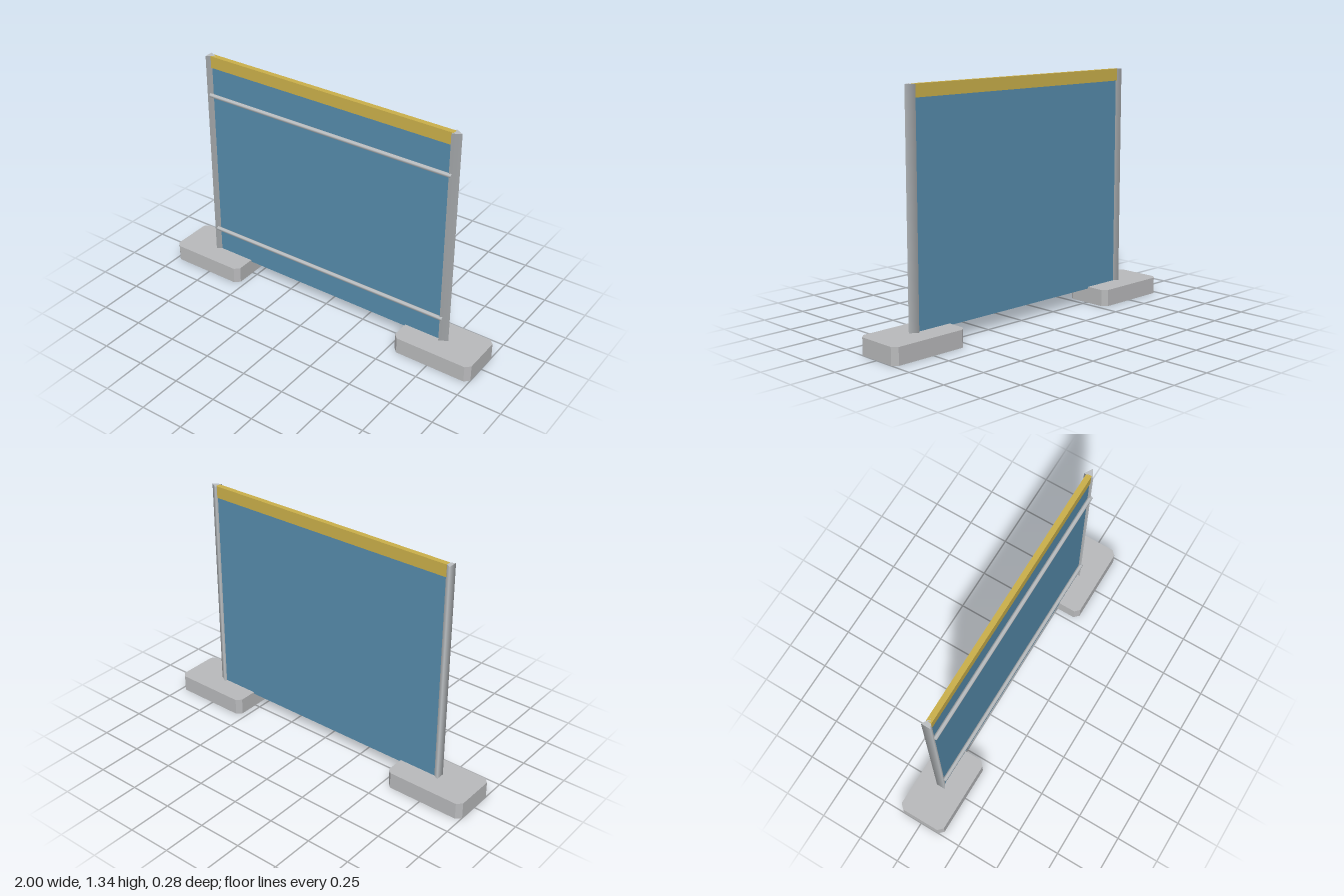
import * as THREE from 'three';

export function createModel() {
  const model = new THREE.Group();
  model.name = 'barrierPanel';
  const mat = (name, color) => {
    const m = new THREE.MeshStandardMaterial({ color });
    m.name = name;
    return m;
  };
  const blue = mat('blue panel', 0x568cac);
  const yellow = mat('yellow trim', 0xcbb04a);
  const concrete = mat('concrete grey', 0xb9babc);
  const metal = mat('metal grey', 0xbcc0c3);

  const add = (name, geometry, material, x, y, z) => {
    const mesh = new THREE.Mesh(geometry, material);
    mesh.name = name;
    mesh.position.set(x, y, z);
    model.add(mesh);
    return mesh;
  };

  // Sheet with a slightly thicker yellow top band
  const top = 1.343, bandBottom = 1.275, sheetBottom = 0.085;
  add('sheet', new THREE.BoxGeometry(1.51, bandBottom - sheetBottom, 0.02), blue,
    0, (bandBottom + sheetBottom) / 2, 0);
  add('topBand', new THREE.BoxGeometry(1.51, top - bandBottom, 0.03), yellow,
    0, (top + bandBottom) / 2, 0);

  // Foot outline with chamfered corners
  const hx = 0.234, hz = 0.14, c = 0.027;
  const outline = new THREE.Shape([
    [hx - c, -hz], [hx, -hz + c], [hx, hz - c], [hx - c, hz],
    [-hx + c, hz], [-hx, hz - c], [-hx, -hz + c], [-hx + c, -hz],
  ].map(([x, y]) => new THREE.Vector2(x, y)));
  const footGeo = new THREE.ExtrudeGeometry(outline, { depth: 0.095, bevelEnabled: false });
  footGeo.rotateX(-Math.PI / 2);

  // Three-sided posts, both with an edge towards +x
  const postBottom = 0.09;
  const postGeo = new THREE.CylinderGeometry(0.031, 0.031, top - postBottom, 3, 1, false, Math.PI / 2);

  for (const [side, s] of [['left', 1], ['right', -1]]) {
    add(side + 'Foot', footGeo, concrete, s * 0.766, 0, 0);
    add(side + 'Post', postGeo, metal, s * 0.7645, (top + postBottom) / 2, 0);
  }

  // Thin horizontal rails on the front
  const railGeo = new THREE.CylinderGeometry(0.0125, 0.0125, 1.526, 6, 1, false, Math.PI / 6);
  railGeo.rotateZ(Math.PI / 2);
  add('upperRail', railGeo, metal, 0, 1.11, 0.022);
  add('lowerRail', railGeo, metal, 0, 0.24, 0.022);

  return model;
}
